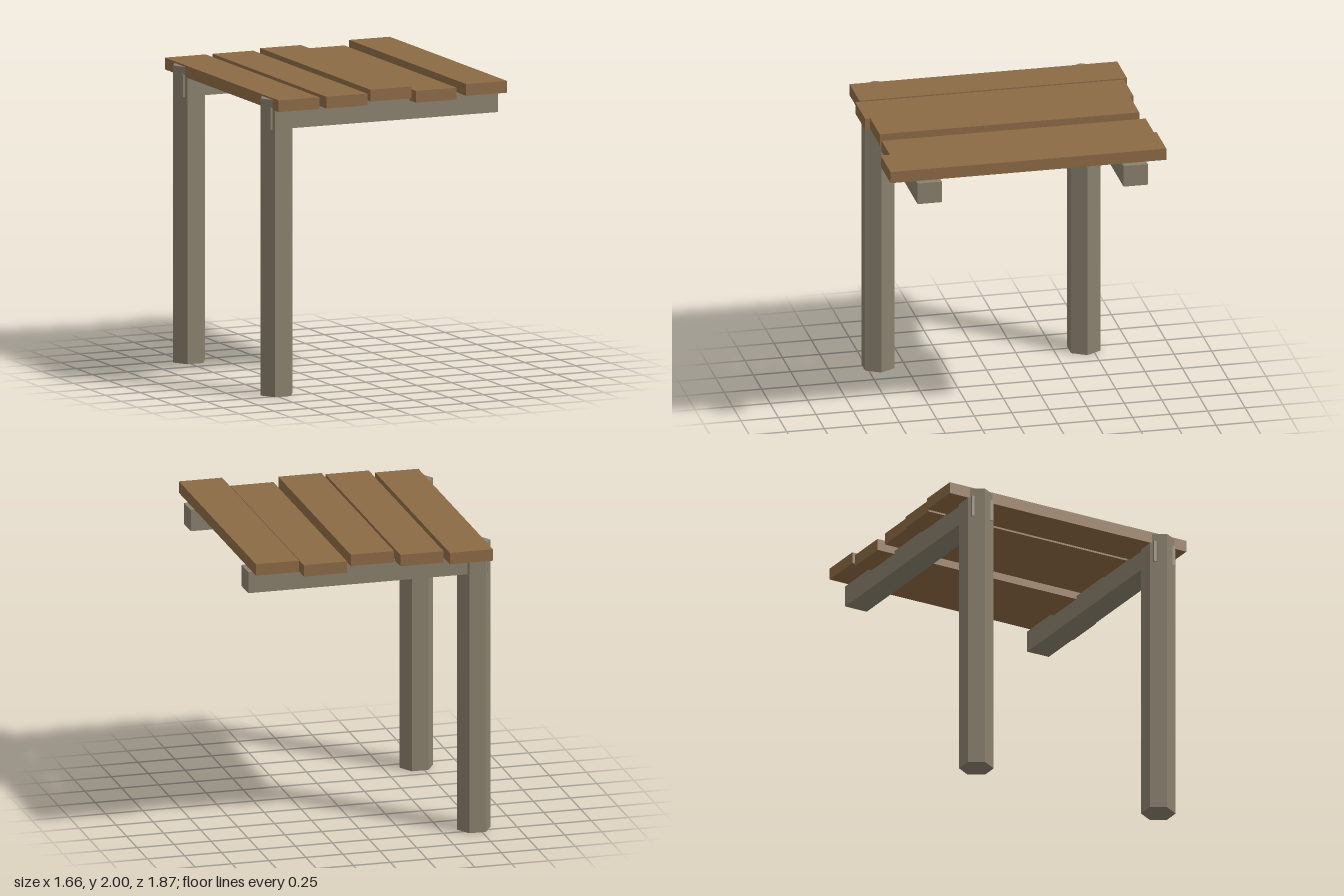
import * as THREE from 'three';

export function createModel() {
  const group = new THREE.Group();
  const plankWood = new THREE.MeshStandardMaterial({ name: 'brown plank wood', color: 0x8c6a45, flatShading: true });
  const frameWood = new THREE.MeshStandardMaterial({ name: 'weathered grey wood', color: 0x8a806d, flatShading: true });

  const add = (name, geometry, material, x, y, z) => {
    const mesh = new THREE.Mesh(geometry, material);
    mesh.name = name;
    mesh.position.set(x, y, z);
    group.add(mesh);
  };

  // Hexagonal posts on the right side, each carrying a beam across
  const legHeight = 1.962;
  const legGeometry = new THREE.CylinderGeometry(0.113, 0.113, legHeight, 6, 1, false, Math.PI / 2);
  const beamGeometry = new THREE.BoxGeometry(1.626, 0.144, 0.162);
  for (const [side, z] of [['front', 0.676], ['back', -0.697]]) {
    add(side + 'Leg', legGeometry, frameWood, -0.72, legHeight / 2, z);
    add(side + 'Beam', beamGeometry, frameWood, 0.014, 1.837, z);
  }

  // Uneven planks: centre x, top y, back z, front z
  const planks = [
    [-0.638, 1.973, -0.934, 0.85],
    [-0.312, 1.979, -0.905, 0.885],
    [0.014, 1.998, -0.87, 0.86],
    [0.341, 1.966, -0.905, 0.855],
    [0.665, 2.0, -0.905, 0.934],
  ];
  const thickness = 0.078;
  planks.forEach(([x, top, back, front], i) => {
    const geometry = new THREE.BoxGeometry(0.292, thickness, front - back);
    add('plank' + (i + 1), geometry, plankWood, x, top - thickness / 2, (front + back) / 2);
  });

  return group;
}
